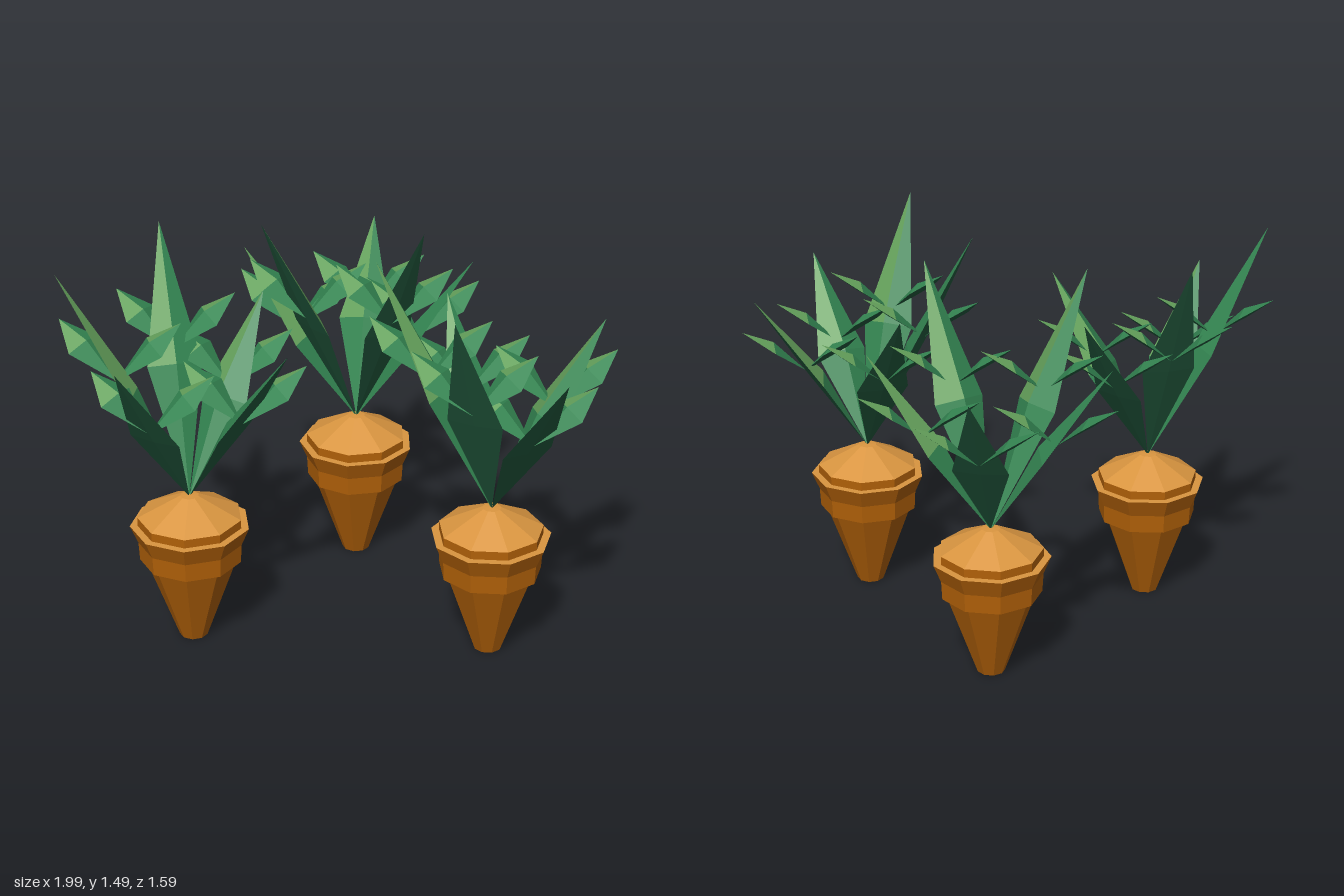
import * as THREE from 'three';

const paint = (name, color) => {
  const m = new THREE.MeshStandardMaterial({ color });
  m.name = name;
  return m;
};
const rootOrange = paint('rootOrange', 0xb06008);
const crownOrange = paint('crownOrange', 0xd99540);
const underGreen = paint('underGreen', 0x225a3e);
const leafGreen = paint('leafGreen', 0x348652);
const tipGreen = paint('tipGreen', 0x65a25c);

const V = (x, y, z) => new THREE.Vector3(x, y, z);
const rad = THREE.MathUtils.degToRad;

function mesh(name, geometry, material) {
  const m = new THREE.Mesh(geometry, material);
  m.name = name;
  return m;
}

// Nine-sided faceted turning
function turned(name, profile, material) {
  const pts = profile.map(([r, y]) => new THREE.Vector2(r, y));
  const geo = new THREE.LatheGeometry(pts, 9).toNonIndexed();
  geo.computeVertexNormals();
  return mesh(name, geo, material);
}

// Pointed blade with a ridged top and a nearly flat, darker underside.
// One upper facet next to the tip is lighter.
function blade(name, base, tip, t, side, up) {
  const mid = base.clone().lerp(tip, t);
  const ring = [
    mid.clone().add(side), mid.clone().add(up),
    mid.clone().sub(side), mid.clone().addScaledVector(up, -0.15),
  ];
  const pos = [];
  const addFace = (a, i) => {
    const b = ring[i];
    const c = ring[(i + 1) % 4];
    const n = b.clone().sub(a).cross(c.clone().sub(a));
    const out = a.clone().add(b).add(c).divideScalar(3).sub(mid);
    const order = n.dot(out) < 0 ? [a, c, b] : [a, b, c];
    order.forEach((p) => pos.push(p.x, p.y, p.z));
  };
  for (const i of [2, 3]) {
    addFace(base, i);
    addFace(tip, i);
  }
  addFace(base, 0);
  addFace(base, 1);
  addFace(tip, 1);
  addFace(tip, 0);
  const geo = new THREE.BufferGeometry();
  geo.setAttribute('position', new THREE.Float32BufferAttribute(pos, 3));
  geo.computeVertexNormals();
  geo.addGroup(0, 12, 0);
  geo.addGroup(12, 9, 1);
  geo.addGroup(21, 3, 2);
  return mesh(name, geo, [underGreen, leafGreen, tipGreen]);
}

// Long blade leaning outwards at an angle, with a pair of leaflets
// that always spread sideways and slightly backwards
function createFrond(angle, tall) {
  const frond = new THREE.Group();
  frond.name = tall ? 'tallFrond' : 'shortFrond';
  const height = tall ? 0.91 : 0.67;
  const reach = 0.444;
  const up = V(0, reach, -height).normalize().multiplyScalar(0.045);
  const stem = blade('frondBlade', V(0, 0, 0), V(0, height, reach), 0.48, V(0.102, 0, 0), up);
  stem.rotation.y = rad(angle);
  frond.add(stem);

  const start = V(Math.sin(rad(angle)) * 0.245, tall ? 0.485 : 0.36, Math.cos(rad(angle)) * 0.245);
  for (const s of [-1, 1]) {
    const end = start.clone().add(V(s * 0.22, 0.187, -0.107));
    const side = V(-0.038, s * 0.006, s * -0.07);
    const normal = end.clone().sub(start).cross(side).normalize().multiplyScalar(0.03);
    if (normal.y < 0) normal.negate();
    frond.add(blade('leaflet', start, end, 0.58, side, normal));
  }
  return frond;
}

function createCarrot(x, z, turn) {
  const carrot = new THREE.Group();
  carrot.name = 'carrot';

  // Tapered root with a flared collar, a short neck and a pale domed crown
  const parts = [
    turned('root', [
      [0, 0], [0.053, 0], [0.167, 0.318], [0.19, 0.328], [0.194, 0.4], [0.223, 0.47],
    ], rootOrange),
    turned('collarRim', [[0.223, 0.47], [0.194, 0.47]], crownOrange),
    turned('neck', [[0.194, 0.47], [0.194, 0.503]], rootOrange),
    turned('crown', [[0.194, 0.503], [0.035, 0.585], [0, 0.588]], crownOrange),
  ];
  for (const part of parts) {
    part.rotation.y = rad(turn);
    carrot.add(part);
  }

  // Leafy top
  const fronds = [[-42.5, true], [42.5, true], [-94.5, false], [94.5, false], [180, false]];
  for (const [angle, tall] of fronds) {
    const frond = createFrond(turn + angle, tall);
    frond.position.y = 0.58;
    carrot.add(frond);
  }
  carrot.position.set(x, 0, z);
  return carrot;
}

export function createModel() {
  const model = new THREE.Group();
  model.name = 'carrots';
  model.add(createCarrot(-0.545, 0.37, -118));
  model.add(createCarrot(0.008, -0.35, -4.5));
  model.add(createCarrot(0.56, 0.37, -60));
  return model;
}
